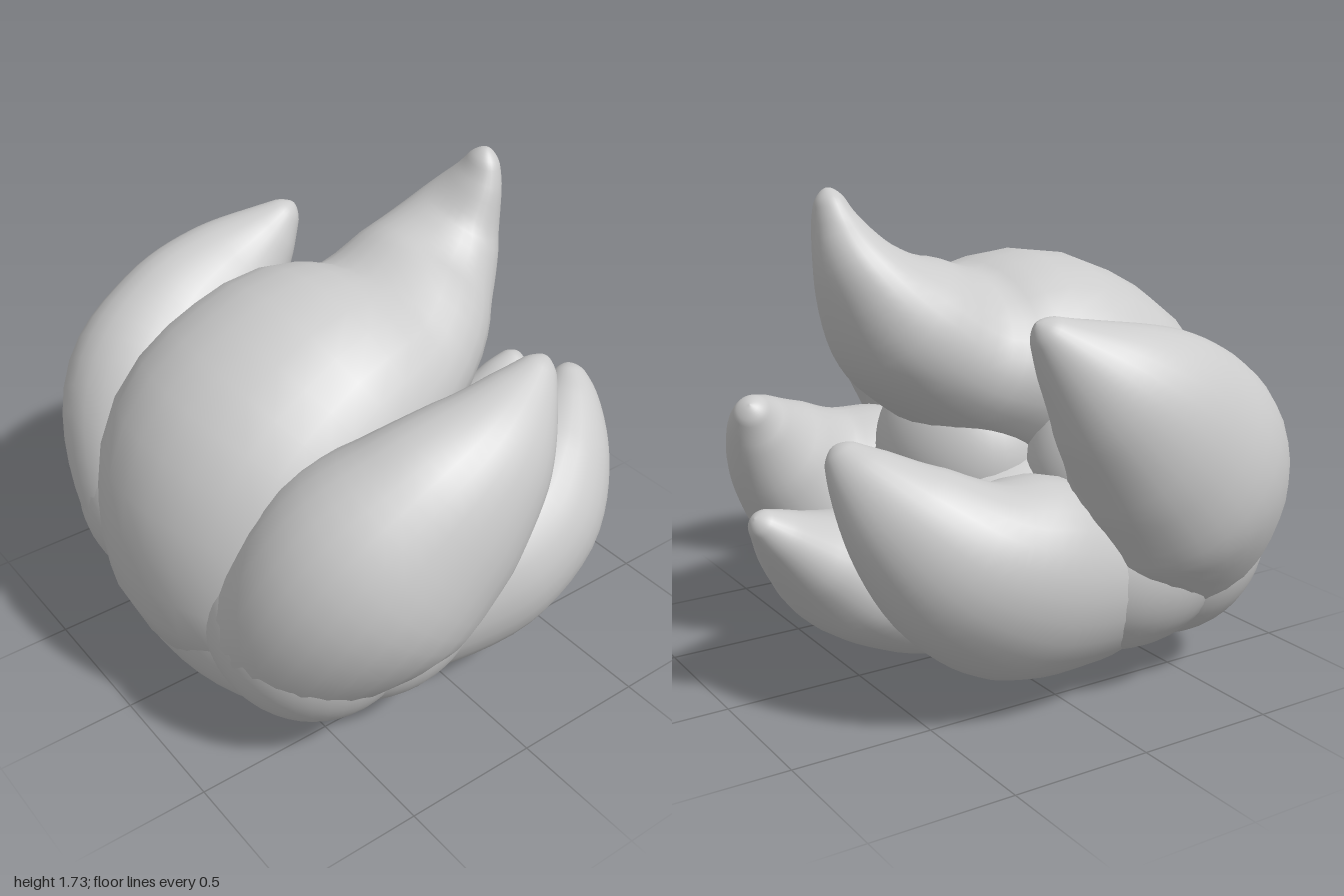
import * as THREE from 'three';

const material = new THREE.MeshStandardMaterial({ color: 0xcccccc, side: THREE.DoubleSide });

// Tapered lobe: each section is [x, y, z, half width, half thickness];
// "out" is the direction in which the thickness is measured.
function lobe(name, sections, out, side = 1) {
  const RINGS = 40, SIDES = 28;
  const path = new THREE.CatmullRomCurve3(sections.map(s => new THREE.Vector3(side * s[0], s[1], s[2])));
  const sizes = new THREE.CatmullRomCurve3(sections.map(s => new THREE.Vector3(s[3], s[4], 0)));
  const outward = new THREE.Vector3(side * out[0], out[1], out[2]);
  const positions = [], index = [];
  for (let i = 0; i <= RINGS; i++) {
    const u = 1 - Math.pow(1 - i / RINGS, 1.5);
    const c = path.getPoint(u), size = sizes.getPoint(u), t = path.getTangent(u);
    // Round off both ends
    let k = 1;
    if (u > 0.95) k = Math.sqrt(Math.max(0, 1 - ((u - 0.95) / 0.05) ** 2));
    if (u < 0.1) k = Math.sqrt(Math.max(0, 1 - ((0.1 - u) / 0.1) ** 2));
    const n = outward.clone().addScaledVector(t, -outward.dot(t)).normalize();
    const b = n.clone().cross(t);
    for (let j = 0; j < SIDES; j++) {
      const a = (j / SIDES) * Math.PI * 2;
      const p = c.clone()
        .addScaledVector(b, k * size.x * Math.cos(a))
        .addScaledVector(n, k * size.y * Math.sin(a));
      positions.push(p.x, p.y, p.z);
      if (i < RINGS) {
        const p0 = i * SIDES + j, p1 = i * SIDES + (j + 1) % SIDES;
        index.push(p0, p1, p0 + SIDES, p1, p1 + SIDES, p0 + SIDES);
      }
    }
  }
  const g = new THREE.BufferGeometry();
  g.setAttribute('position', new THREE.Float32BufferAttribute(positions, 3));
  g.setIndex(index);
  g.computeVertexNormals();
  const mesh = new THREE.Mesh(g, material);
  mesh.name = name;
  return mesh;
}

function ellipsoid(name, center, radii) {
  const g = new THREE.SphereGeometry(1, 40, 28);
  g.scale(...radii);
  g.translate(...center);
  const mesh = new THREE.Mesh(g, material);
  mesh.name = name;
  return mesh;
}

export function createModel() {
  const group = new THREE.Group();
  group.name = 'lobedTuft';

  // Body that fills the hollow between the lobes
  group.add(ellipsoid('core', [0, 0.48, 0.15], [0.64, 0.43, 0.62]));
  group.add(ellipsoid('frontBase', [0, 0.41, 0.48], [0.7, 0.41, 0.41]));
  group.add(ellipsoid('rearWeb', [0, 0.78, -0.06], [0.36, 0.34, 0.3]));

  // Large lobe rising at the front and sweeping back over the top
  group.add(lobe('crownLobe', [
    [0, 0.1, 0.5, 0.35, 0.28],
    [0, 0.48, 0.52, 0.55, 0.44],
    [0, 0.83, 0.43, 0.57, 0.5],
    [0.01, 1.05, 0.19, 0.52, 0.44],
    [-0.01, 1.15, -0.13, 0.41, 0.3],
    [-0.07, 1.29, -0.37, 0.29, 0.25],
    [-0.07, 1.45, -0.505, 0.2, 0.155],
    [-0.03, 1.61, -0.565, 0.11, 0.08],
    [-0.01, 1.73, -0.585, 0.04, 0.035],
  ], [0, 0.7, 0.7]));

  for (const [prefix, side] of [['left', 1], ['right', -1]]) {
    // Fillings that soften the valleys between crown, side and lower lobes
    group.add(ellipsoid(prefix + 'FrontWeb', [side * 0.43, 0.52, 0.5], [0.38, 0.4, 0.37]));
    group.add(ellipsoid(prefix + 'SideWeb', [side * 0.45, 0.48, 0.28], [0.37, 0.36, 0.42]));
    group.add(ellipsoid(prefix + 'InnerWeb', [side * 0.42, 0.78, 0.22], [0.24, 0.3, 0.26]));

    // Upper side lobes
    group.add(lobe(prefix + 'SideLobe', [
      [0.22, 0.22, 0.52, 0.28, 0.2],
      [0.47, 0.52, 0.5, 0.38, 0.33],
      [0.63, 0.77, 0.4, 0.42, 0.36],
      [0.72, 0.97, 0.21, 0.36, 0.285],
      [0.74, 1.13, 0.02, 0.25, 0.21],
      [0.72, 1.26, -0.13, 0.13, 0.12],
      [0.7, 1.36, -0.235, 0.035, 0.035],
    ], [1, 0, 0.15], side));

    // Lower side lobes, curling inward at the tips
    group.add(lobe(prefix + 'LowerLobe', [
      [0.27, 0.32, 0.5, 0.25, 0.24],
      [0.42, 0.4, 0.14, 0.34, 0.31],
      [0.51, 0.47, -0.17, 0.37, 0.31],
      [0.53, 0.57, -0.4, 0.31, 0.26],
      [0.47, 0.73, -0.575, 0.22, 0.19],
      [0.39, 0.87, -0.685, 0.12, 0.11],
      [0.32, 0.96, -0.74, 0.04, 0.04],
    ], [1, -0.4, -0.3], side));
  }

  // Lowest lobe at the rear
  group.add(lobe('rearLobe', [
    [-0.02, 0.26, 0.4, 0.3, 0.18],
    [0, 0.28, 0, 0.42, 0.21],
    [0, 0.32, -0.3, 0.38, 0.24],
    [-0.02, 0.41, -0.55, 0.3, 0.22],
    [-0.08, 0.53, -0.73, 0.19, 0.15],
    [-0.13, 0.64, -0.86, 0.1, 0.085],
    [-0.15, 0.71, -0.94, 0.035, 0.035],
  ], [0, -1, -0.3]));

  return group;
}
